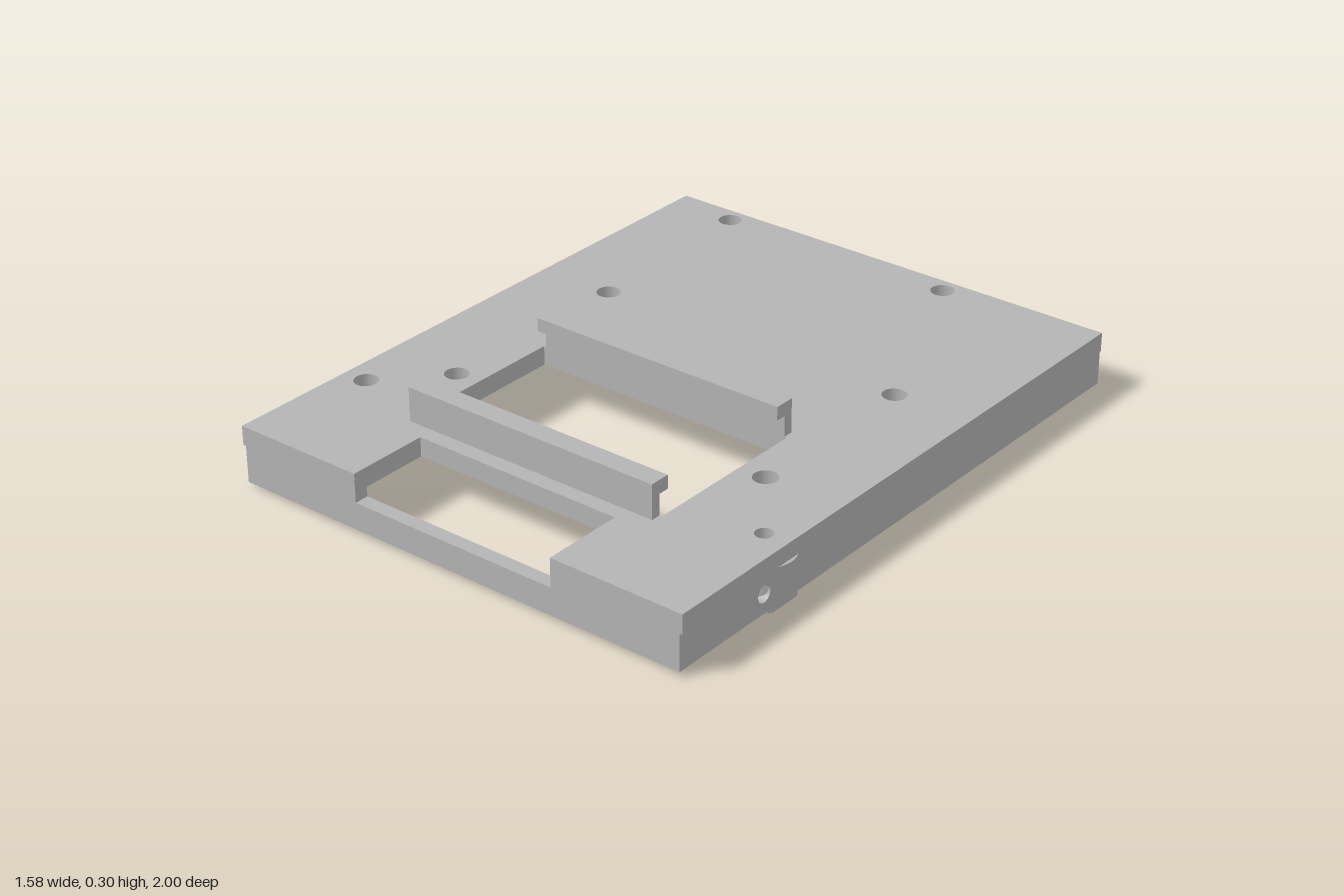
import * as THREE from 'three';

const grey = new THREE.MeshStandardMaterial({ color: 0xb4b4b4 });
grey.name = 'plainGrey';

// Closed shape from [x, y] pairs
const poly = (pts) => new THREE.Shape(pts.map(([x, y]) => new THREE.Vector2(x, y)));
const rect = (x0, y0, x1, y1) => poly([[x0, y0], [x1, y0], [x1, y1], [x0, y1]]);
const circleHole = (x, y, r) => new THREE.Path().absarc(x, y, r, 0, Math.PI * 2, true);
const extrude = (shape, depth) =>
  new THREE.ExtrudeGeometry(shape, { depth, bevelEnabled: false, curveSegments: 20 });

// Shape drawn in (x, -z), raised from y0 to y1
const slab = (shape, y0, y1) => extrude(shape, y1 - y0).rotateX(-Math.PI / 2).translate(0, y0, 0);

// Ring on the plan, flattened where it meets the outer walls
function ring(x, z, r, hole, limitX = 9, limitZ = 9) {
  const pts = [];
  for (let i = 0; i < 40; i++) {
    const a = (i / 40) * Math.PI * 2;
    pts.push([
      THREE.MathUtils.clamp(x + r * Math.cos(a), -limitX, limitX),
      Math.min(-z + r * Math.sin(a), limitZ),
    ]);
  }
  const shape = poly(pts);
  shape.holes.push(circleHole(x, -z, hole));
  return shape;
}

export function createModel() {
  const group = new THREE.Group();
  const add = (name, geometry) => {
    const mesh = new THREE.Mesh(geometry, grey);
    mesh.name = name;
    group.add(mesh);
    return mesh;
  };

  // Mounting bosses: x, z, hole radius, column radius
  const bosses = [
    [-0.555, -0.91, 0.037, 0.058],
    [0.255, -0.91, 0.037, 0.09],
    [-0.7, 0.59, 0.037, 0.09],
    [0.7, 0.56, 0.027, 0.09],
  ];
  // Screw holes with short collars underneath: x, z
  const screws = [[-0.525, -0.275], [0.525, -0.275], [-0.525, 0.4], [0.525, 0.325]];

  // Top plate with front notch, rectangular window and round holes
  const plate = poly([
    [-0.78, -1], [-0.35, -1], [-0.35, -0.74], [0.345, -0.74],
    [0.345, -1], [0.78, -1], [0.78, 0.968], [-0.78, 0.968],
  ]);
  plate.holes.push(rect(-0.443, -0.66, 0.438, -0.115));
  for (const [x, z, hole] of bosses) plate.holes.push(circleHole(x, -z, hole));
  for (const [x, z] of screws) plate.holes.push(circleHole(x, -z, 0.037));
  add('topPlate', slab(plate, 0.13, 0.19));

  // Front wall, lowered across the notch
  const front = poly([
    [-0.77, 0.015], [0.77, 0.015], [0.77, 0.13], [0.345, 0.13],
    [0.345, 0.1], [-0.35, 0.1], [-0.35, 0.13], [-0.77, 0.13],
  ]);
  add('frontWall', extrude(front, 0.045).translate(0, 0, 0.955));

  // Back wall with a cutout along its lower edge
  const back = poly([
    [-0.77, 0.015], [-0.59, 0.015], [-0.59, 0.095], [-0.25, 0.095],
    [-0.25, 0.015], [0.77, 0.015], [0.77, 0.135], [-0.77, 0.135],
  ]);
  add('backWall', extrude(back, 0.04).translate(0, 0, -0.98));

  // Side walls, each with a round cross hole
  for (const side of [-1, 1]) {
    const wall = rect(-0.955, 0.015, 0.94, 0.13);
    wall.holes.push(circleHole(-0.65, 0.075, 0.026));
    add(side > 0 ? 'leftWall' : 'rightWall',
      extrude(wall, 0.04).rotateY(Math.PI / 2).translate(side * 0.75 - 0.02, 0, 0));
  }

  // Boss columns, feet and the thin flanges under the plate edge
  for (const [x, z, hole, r] of bosses) {
    add('bossColumn', slab(ring(x, z, r, hole, 0.768, 0.978), 0.015, 0.13));
    add('bossFoot', slab(ring(x, z, 0.09, hole, 0.77, 0.978), 0, 0.015));
    add('bossFlange', slab(ring(x, z, 0.09, hole), 0.131, 0.138));
  }

  // Collars around the screw holes
  for (const [x, z] of screws) add('screwCollar', slab(ring(x, z, 0.062, 0.037), 0.1, 0.13));

  // Hooked rails along the window, hooks facing each other
  const hook = [[0, 0.13], [0.032, 0.13], [0.032, 0.255], [0.066, 0.255], [0.066, 0.297], [0, 0.297]];
  const rail = () => extrude(poly(hook), 0.865).rotateY(-Math.PI / 2);
  add('rearRail', rail().translate(0.43, 0, 0.083));
  add('frontRail', rail().rotateY(Math.PI).translate(-0.435, 0, 0.69));

  return group;
}
